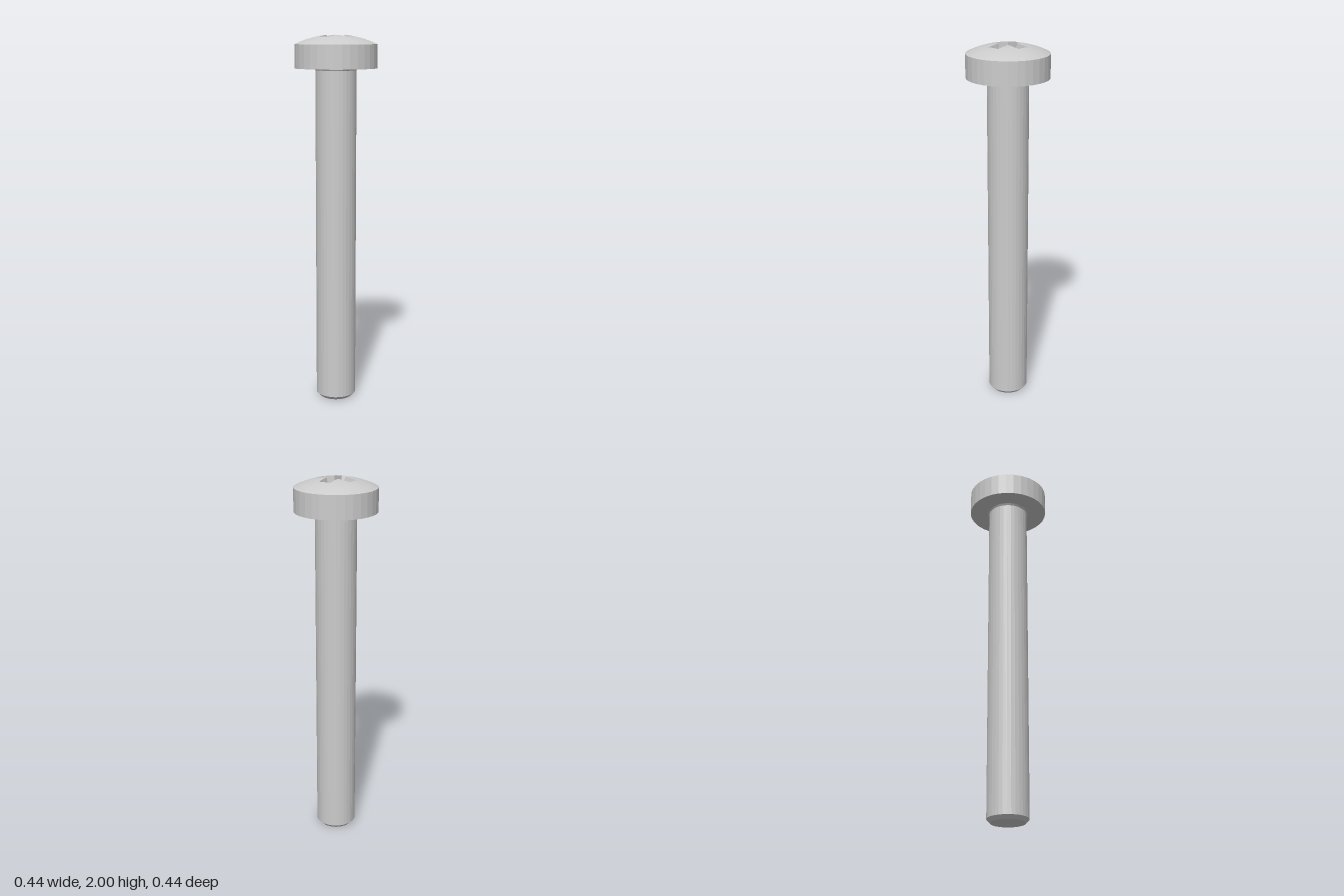
import * as THREE from 'three';

const SIDES = 32, HEAD_R = 0.218, RIM_Y = 1.95;
const ARM = 0.105, HALF = 0.033;            // recess opening: arm reach and half width
const FLOOR_Y = 1.89, FLOOR_ARM = 0.055, FLOOR_HALF = 0.02, FLOOR_IN = 0.032;
const STEP = Math.PI * 2 / SIDES;

const material = new THREE.MeshStandardMaterial({ color: 0xcccccc, flatShading: true });

// Spherical cap height at a distance from the axis
const CAP_R = (HEAD_R ** 2 + 0.05 ** 2) / 0.1;
const domeY = r => 2 - CAP_R + Math.sqrt(CAP_R ** 2 - r * r);

// Columns around the axis: four arms, each spanning -45 to 45 degrees
const corner = Math.atan2(HALF, ARM);
const half = [corner, STEP, STEP * 2, STEP * 3, STEP * 4];
const armAngles = [0, ...half, ...half.map(a => -a)].sort((a, b) => a - b);
const columns = [0, 1, 2, 3].flatMap(arm => armAngles.map(phi => ({ arm, phi })));

// Point given in an arm's own frame, turned to that arm
const place = (arm, x, y, z) =>
  new THREE.Vector3(x, y, z).applyAxisAngle(new THREE.Vector3(0, 1, 0), -arm * Math.PI / 2);

const openingR = phi => Math.min(ARM / Math.cos(phi), HALF / Math.max(Math.abs(Math.sin(phi)), 1e-6));

// Radius of the many-sided head edge at an angle
function edgeR(phi) {
  const t = phi / STEP;
  const off = (t - Math.floor(t + 1e-6) - 0.5) * STEP;
  return HEAD_R * Math.cos(STEP / 2) / Math.cos(off);
}

// Ring on the dome: t = 0 at the head edge, 1 at the recess opening
const domeRing = t => columns.map(({ arm, phi }) => {
  const r = THREE.MathUtils.lerp(edgeR(phi), openingR(phi), t);
  const y = t === 0 ? RIM_Y : domeY(r);
  return place(arm, r * Math.cos(phi), y, r * Math.sin(phi));
});

// Foot of the tapering recess walls
const floorPoint = phi => {
  const r = openingR(phi);
  const k = (FLOOR_ARM - FLOOR_IN) / (ARM - HALF);
  return [FLOOR_IN + (r * Math.cos(phi) - HALF) * k, r * Math.sin(phi) * FLOOR_HALF / HALF];
};
const floorRing = () => columns.map(({ arm, phi }) => {
  const [x, z] = floorPoint(phi);
  return place(arm, x, FLOOR_Y, z);
});
const pitRing = (radius, y) => columns.map(({ arm, phi }) => {
  const [x, z] = floorPoint(phi);
  const a = Math.atan2(z, x);
  return place(arm, radius * Math.cos(a), y, radius * Math.sin(a));
});

// Skin closed rings, listed from the outside inwards, leaving out empty triangles
function skin(rings) {
  const pos = [];
  const tri = (a, b, c) => {
    const area = b.clone().sub(a).cross(c.clone().sub(a)).length();
    if (area > 1e-9) for (const p of [a, b, c]) pos.push(p.x, p.y, p.z);
  };
  for (let j = 0; j + 1 < rings.length; j++) {
    const outer = rings[j], inner = rings[j + 1];
    for (let i = 0; i < outer.length; i++) {
      const n = (i + 1) % outer.length;
      tri(outer[i], inner[i], inner[n]);
      tri(outer[i], inner[n], outer[n]);
    }
  }
  const geo = new THREE.BufferGeometry();
  geo.setAttribute('position', new THREE.Float32BufferAttribute(pos, 3));
  geo.computeVertexNormals();
  return geo;
}

const turned = profile =>
  new THREE.LatheGeometry(profile.map(p => new THREE.Vector2(...p)), SIDES);

export function createModel() {
  const group = new THREE.Group();
  const add = (name, geo) => {
    const mesh = new THREE.Mesh(geo, material);
    mesh.name = name;
    group.add(mesh);
  };

  // Shank with chamfered tip and a small fillet under the head
  add('shank', turned([[0, 0], [0.09, 0], [0.109, 0.02], [0.109, 1.815], [0.115, 1.825]]));

  // Underside and side wall of the head
  add('headSide', turned([[0.109, 1.825], [HEAD_R, 1.825], [HEAD_R, RIM_Y]]));

  // Domed top with the cross opening
  add('headDome', skin([0, 0.2, 0.4, 0.6, 0.8, 1].map(domeRing)));

  // Tapered cross recess with a conical pit in its floor
  add('crossRecess', skin([domeRing(1), floorRing(), pitRing(0.035, FLOOR_Y), pitRing(0, FLOOR_Y - 0.02)]));

  return group;
}
